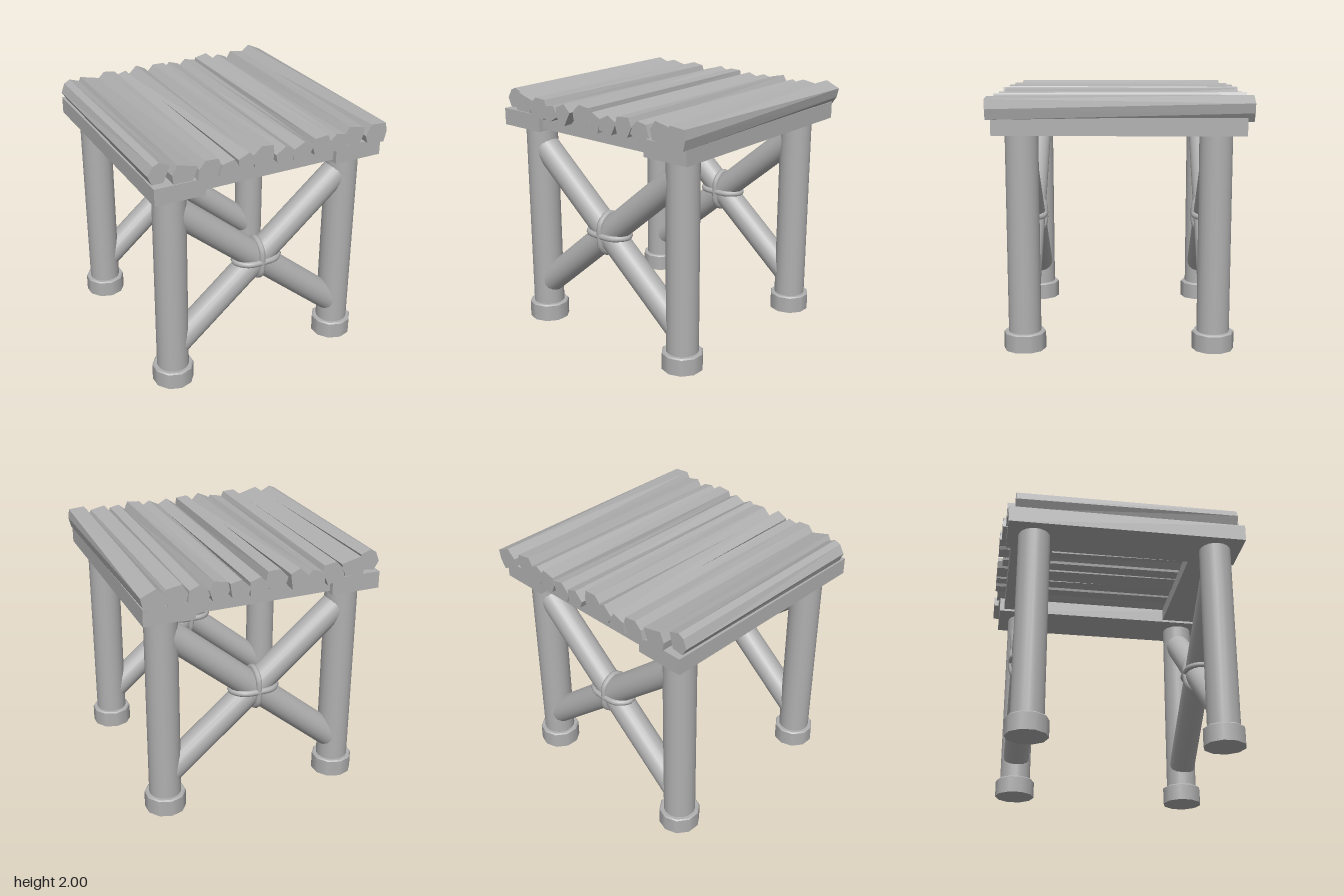
import * as THREE from 'three';

export function createModel() {
  const model = new THREE.Group();
  const wood = new THREE.MeshStandardMaterial({ color: 0xb0b0b0 });
  wood.name = 'greyWood';

  const add = (name, geometry, x = 0, y = 0, z = 0) => {
    const mesh = new THREE.Mesh(geometry, wood);
    mesh.name = name;
    mesh.position.set(x, y, z);
    model.add(mesh);
    return mesh;
  };

  // Round legs standing on wider faceted feet
  for (const x of [-0.747, 0.747]) {
    for (const z of [-0.735, 0.742]) {
      add('leg', new THREE.CylinderGeometry(0.128, 0.128, 1.6, 20), x, 0.92, z);
      add('foot', new THREE.CylinderGeometry(0.165, 0.165, 0.135, 10), x, 0.0675, z);
      add('footRim', new THREE.CylinderGeometry(0.155, 0.165, 0.01, 10), x, 0.14, z);
    }
  }

  // Side beams over the legs, joined by thinner cross beams
  for (const s of [-1, 1]) {
    add('sideBeam', new THREE.BoxGeometry(0.4, 0.135, 1.9), s * 0.75, 1.7675, 0);
    add('crossBeam', new THREE.BoxGeometry(1.12, 0.11, 0.34), 0, 1.775, s * 0.74);
  }

  // Closed rope loop; across() maps the long and short half axes into 3D
  const ropeLoop = (long, short, across) => {
    const points = [
      [1, 0], [0.66, 0.85], [0, 1], [-0.66, 0.85],
      [-1, 0], [-0.66, -0.85], [0, -1], [0.66, -0.85],
    ].map(([a, b]) => across(a * long, b * short));
    const path = new THREE.CatmullRomCurve3(points, true);
    return new THREE.TubeGeometry(path, 32, 0.025, 8, true);
  };

  // Crossed braces at front and back, lashed at the middle
  for (const z of [-0.735, 0.742]) {
    for (const s of [-1, 1]) {
      const run = 1.42, rise = 1.2;
      const brace = add('brace',
        new THREE.CylinderGeometry(0.11, 0.11, Math.hypot(run, rise), 20), -0.005, 0.927, z);
      brace.rotation.z = s * Math.atan2(run, rise);
    }
    add('horizontalRope', ropeLoop(0.19, 0.108, (a, b) => new THREE.Vector3(a, 0, b)), -0.007, 0.928, z);
    add('verticalRope', ropeLoop(0.163, 0.108, (a, b) => new THREE.Vector3(0, a, b)), -0.01, 0.927, z);
  }

  // Rough plank: a cross-section run from back to front, turned at its back end
  const plank = (back, front, twist, section) => {
    const shape = new THREE.Shape(section.map(([x, y]) => new THREE.Vector2(x, y)));
    const geometry = new THREE.ExtrudeGeometry(shape, { depth: front - back, bevelEnabled: false });
    const cx = section.reduce((sum, p) => sum + p[0], 0) / section.length;
    const cy = section.reduce((sum, p) => sum + p[1], 0) / section.length;
    const p = geometry.attributes.position;
    const cos = Math.cos(twist), sin = Math.sin(twist);
    for (let i = 0; i < p.count; i++) {
      if (p.getZ(i) > 0.01) continue;
      const dx = p.getX(i) - cx, dy = p.getY(i) - cy;
      p.setXY(i, cx + dx * cos - dy * sin, cy + dx * sin + dy * cos);
    }
    geometry.computeVertexNormals();
    add('plank', geometry, 0, 0, back);
  };

  plank(-0.9, 0.89, 0.15, [[-0.97, 1.91], [-0.93, 1.98], [-0.88, 2], [-0.8, 1.96], [-0.85, 1.84], [-0.94, 1.84]]);
  plank(-0.96, 0.95, 0.05, [[-0.81, 1.91], [-0.77, 1.985], [-0.61, 1.94], [-0.65, 1.84], [-0.8, 1.84]]);
  plank(-0.985, 0.97, -0.1, [[-0.61, 1.92], [-0.56, 1.98], [-0.46, 1.975], [-0.44, 1.93], [-0.48, 1.81], [-0.62, 1.84]]);
  plank(-1, 0.99, 0.12, [[-0.44, 1.93], [-0.34, 1.95], [-0.29, 1.87], [-0.38, 1.82], [-0.46, 1.84]]);
  plank(-1, 0.99, 0.35, [[-0.31, 1.94], [-0.22, 1.98], [-0.16, 1.92], [-0.22, 1.81], [-0.3, 1.86]]);
  plank(-0.96, 0.95, 0.08, [[-0.17, 1.92], [-0.1, 1.985], [0, 1.975], [0.01, 1.88], [-0.03, 1.83], [-0.15, 1.83]]);
  plank(-1, 0.99, 0.2, [[0, 1.91], [0.08, 1.965], [0.16, 1.92], [0.13, 1.81], [0.01, 1.85]]);
  plank(-1, 0.99, 0.3, [[0.15, 1.92], [0.24, 1.965], [0.32, 1.92], [0.27, 1.82], [0.15, 1.84]]);
  plank(-1, 0.99, 0.12, [[0.31, 1.91], [0.33, 1.97], [0.44, 1.98], [0.47, 1.91], [0.43, 1.83], [0.33, 1.84]]);
  plank(-0.98, 0.98, -0.2, [[0.46, 1.91], [0.52, 1.965], [0.6, 1.95], [0.63, 1.86], [0.53, 1.82], [0.45, 1.86]]);
  plank(-0.96, 0.95, 0.05, [[0.61, 1.91], [0.66, 1.985], [0.78, 1.96], [0.8, 1.92], [0.76, 1.83], [0.63, 1.84]]);
  plank(-1, 0.99, -0.35, [[0.78, 1.9], [0.83, 1.985], [0.96, 1.975], [0.97, 1.9], [0.95, 1.82], [0.8, 1.84]]);

  return model;
}
